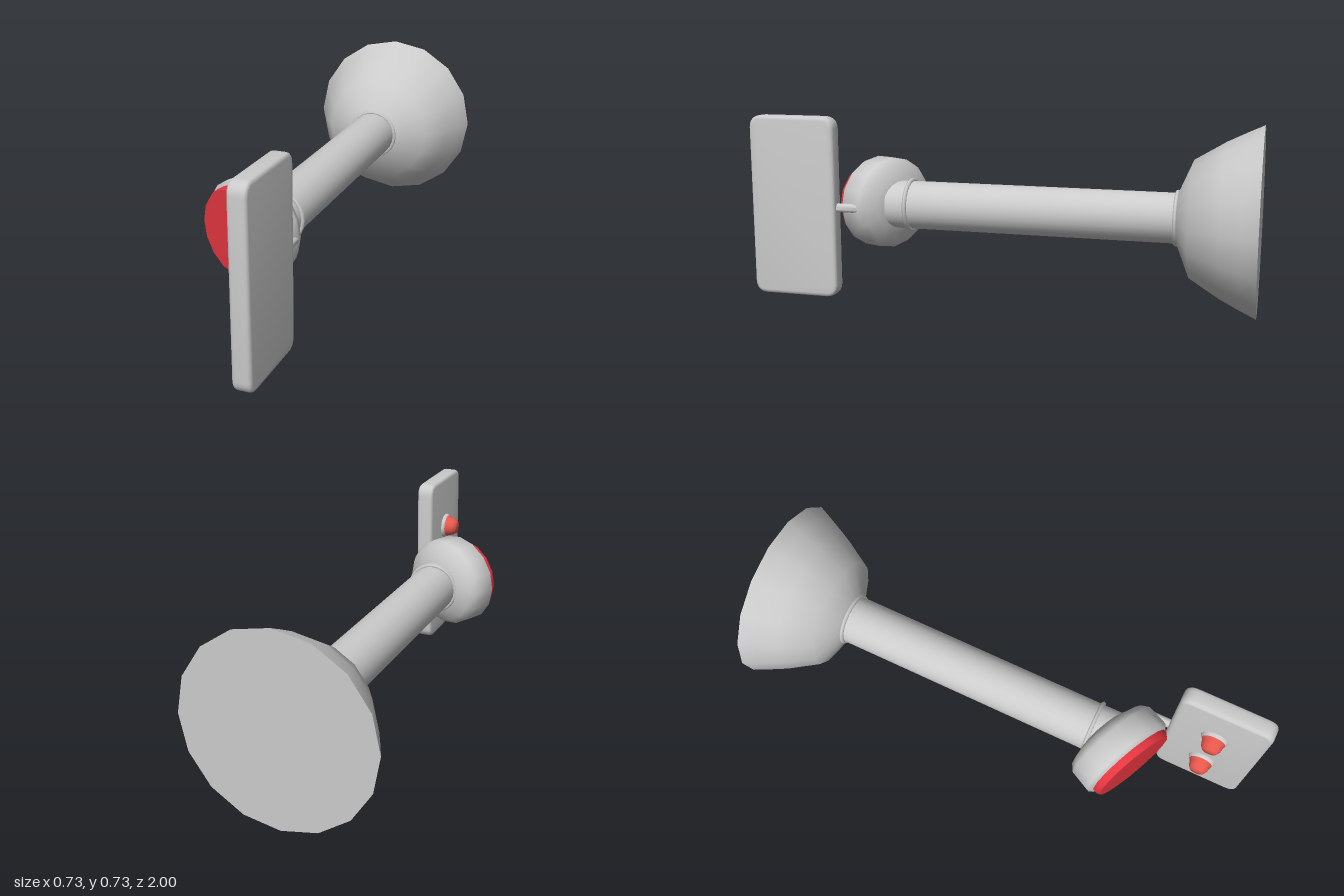
import * as THREE from 'three';
import { toCreasedNormals } from 'three/addons/utils/BufferGeometryUtils.js';

const AXIS_Y = 0.364;
const grey = new THREE.MeshStandardMaterial({ color: 0xcccccc });
const lensRed = new THREE.MeshStandardMaterial({ color: 0xe6363f });
const knobRed = new THREE.MeshStandardMaterial({ color: 0xe8584c });

function part(name, geometry, material = grey) {
  const mesh = new THREE.Mesh(geometry, material);
  mesh.name = name;
  return mesh;
}

// Revolve [radius, z] pairs (z increasing) around the z axis.
function turned(profile, sides = 16, crease = 0.75) {
  const g = new THREE.LatheGeometry(profile.map(([r, z]) => new THREE.Vector2(r, z)), sides);
  g.rotateX(Math.PI / 2);
  return toCreasedNormals(g, crease);
}

export function createModel() {
  const model = new THREE.Group();

  // Everything on the main axis: mount, pole and collars
  const body = new THREE.Group();
  body.name = 'body';
  body.position.y = AXIS_Y;
  model.add(body);

  body.add(part('wallMount', turned([
    [0, -1], [0.363, -1], [0.335, -0.94], [0.298, -0.865], [0.226, -0.747],
    [0.115, -0.7], [0.097, -0.69], [0, -0.69],
  ])));
  body.add(part('pole', turned([[0, -0.72], [0.097, -0.72], [0.097, 0.46], [0, 0.46]], 24)));
  for (const z of [-0.69, 0.376]) {
    const collar = part('collar', new THREE.TorusGeometry(0.1, 0.009, 6, 24));
    collar.position.z = z;
    body.add(collar);
  }

  // Head, turned towards -x
  const head = new THREE.Group();
  head.name = 'head';
  head.position.set(-0.04, 0, 0.505);
  head.rotation.y = -0.45;
  head.scale.y = 0.92;
  head.add(part('headShell', turned([
    [0, -0.1], [0.115, -0.095], [0.13, -0.088], [0.178, -0.073], [0.2, -0.045],
    [0.202, 0.042], [0.188, 0.056], [0, 0.056],
  ], 16, 0.9)));
  head.add(part('headFace', turned([
    [0, 0.04], [0.182, 0.04], [0.182, 0.07], [0.172, 0.085], [0, 0.087],
  ], 16, 0.9), lensRed));
  body.add(head);

  // Upright plate with rounded corners, drawn in z-y and extruded along x
  const w = 0.166, h = 0.35, r = 0.035, bevel = 0.014;
  const shape = new THREE.Shape();
  shape.moveTo(-w + r, -h);
  shape.lineTo(w - r, -h);
  shape.quadraticCurveTo(w, -h, w, -h + r);
  shape.lineTo(w, h - r);
  shape.quadraticCurveTo(w, h, w - r, h);
  shape.lineTo(-w + r, h);
  shape.quadraticCurveTo(-w, h, -w, h - r);
  shape.lineTo(-w, -h + r);
  shape.quadraticCurveTo(-w, -h, -w + r, -h);
  const depth = 0.07 - 2 * bevel;
  const plateGeometry = new THREE.ExtrudeGeometry(shape, {
    depth, bevelEnabled: true, bevelThickness: bevel, bevelSize: bevel,
    bevelSegments: 3, curveSegments: 5,
  });
  plateGeometry.translate(0, 0, -depth / 2);
  plateGeometry.rotateY(Math.PI / 2);
  const plate = part('plate', toCreasedNormals(plateGeometry, 0.7));
  plate.position.set(0.145, 0, 0.82);
  body.add(plate);

  // Small peg joining plate and head
  const peg = part('plateHinge', turned([
    [0, -0.06], [0.018, -0.06], [0.018, 0.045], [0, 0.045],
  ], 10));
  peg.position.set(0.142, 0, 0.615);
  body.add(peg);

  // Two knobs on the inner side of the plate
  for (const y of [-0.137, 0.137]) {
    const knob = new THREE.Group();
    knob.name = 'knob';
    knob.position.set(0.112, y, 0.815);
    knob.rotation.y = -Math.PI / 2;
    knob.add(part('knobBase', turned([[0, 0], [0.055, 0], [0.054, 0.008], [0.048, 0.015], [0, 0.015]])));
    knob.add(part('knobCap', turned([
      [0, 0.01], [0.048, 0.012], [0.041, 0.03], [0.038, 0.045], [0.028, 0.059], [0, 0.062],
    ], 16, 0.9), knobRed));
    body.add(knob);
  }
  return model;
}
